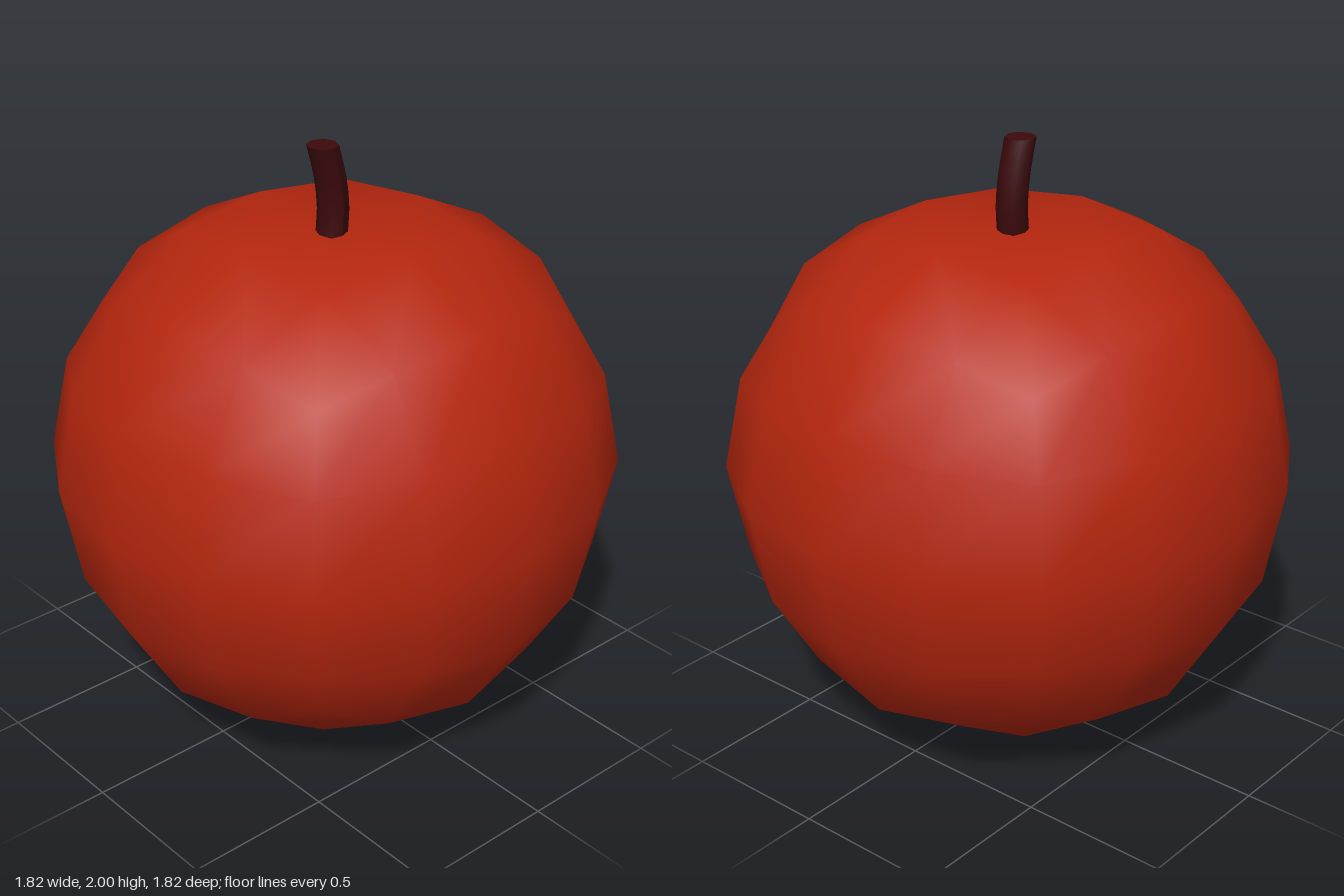
import * as THREE from 'three';
import { mergeVertices } from 'three/addons/utils/BufferGeometryUtils.js';

const CENTER_Y = 0.915;
const SCALE = 1.038;

// Rounded cube: each grid point is classed by its squared length, which
// gives the new distance of its full (1) and half (0.5) coordinates.
const ROUNDING = {
  1: [0.8785, 0],       // face centre
  1.25: [0.8195, 0.351], // beside the face centre
  1.5: [0.764, 0.326],  // inner face corner
  2: [0.643, 0],        // edge middle
  2.25: [0.599, 0.302], // edge quarter
  3: [0.509, 0],        // cube corner
};

// Heights of the sunken top around the stem
const DENT = { 1: 1.7, 1.25: 1.728, 1.5: 1.694 };

function fruitGeometry() {
  const box = new THREE.BoxGeometry(2, 2, 2, 4, 4, 4);
  box.deleteAttribute('uv');
  box.deleteAttribute('normal');
  const geometry = mergeVertices(box);
  const pos = geometry.attributes.position;
  const p = new THREE.Vector3();
  for (let i = 0; i < pos.count; i++) {
    p.fromBufferAttribute(pos, i);
    const kind = p.lengthSq();
    const [full, half] = ROUNDING[kind];
    const round = (c) => Math.sign(c) * (Math.abs(c) === 1 ? full : Math.abs(c) === 0.5 ? half : 0) * SCALE;
    const sunken = p.y === 1 && DENT[kind];
    pos.setXYZ(i, round(p.x), sunken || CENTER_Y + round(p.y), round(p.z));
  }
  geometry.computeVertexNormals();
  return geometry;
}

function stemGeometry() {
  const bottom = 1.67, top = 2;
  const bend = new THREE.CatmullRomCurve3([
    new THREE.Vector3(-0.012, bottom, 0),
    new THREE.Vector3(-0.002, 1.78, 0),
    new THREE.Vector3(-0.015, 1.89, 0),
    new THREE.Vector3(-0.045, top, 0),
  ]);
  const rows = 6;
  const geometry = new THREE.CylinderGeometry(0.051, 0.051, 1, 8, rows);
  const pos = geometry.attributes.position;
  for (let i = 0; i < pos.count; i++) {
    const c = bend.getPoint(pos.getY(i) + 0.5);
    pos.setXYZ(i, pos.getX(i) + c.x, c.y, pos.getZ(i));
  }
  geometry.computeVertexNormals();
  return geometry;
}

export function createModel() {
  const red = new THREE.MeshStandardMaterial({ color: 0xb4260e });
  red.name = 'apple red';
  const brown = new THREE.MeshStandardMaterial({ color: 0x3b090b });
  brown.name = 'stem brown';

  const fruit = new THREE.Mesh(fruitGeometry(), red);
  fruit.name = 'fruit';
  const stem = new THREE.Mesh(stemGeometry(), brown);
  stem.name = 'stem';

  const apple = new THREE.Group();
  apple.name = 'apple';
  apple.add(fruit, stem);
  return apple;
}
